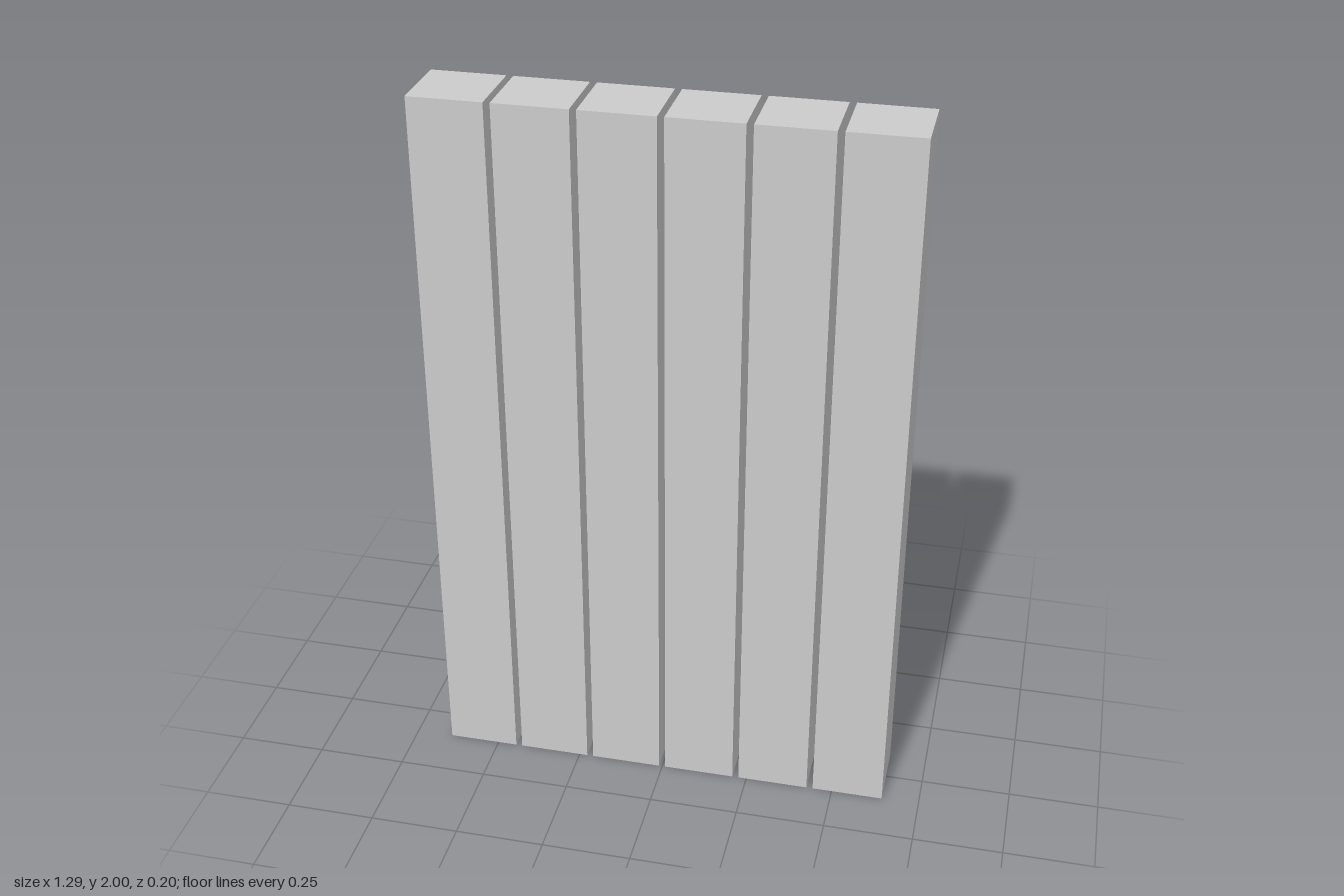
import * as THREE from 'three';

const COUNT = 6, WIDTH = 0.2, DEPTH = 0.2, HEIGHT = 2, SPACING = 0.218;

// Hollow post: a box with its bottom face left out
function openBottomBox(w, h, d) {
  const geometry = new THREE.BoxGeometry(w, h, d);
  const normal = geometry.attributes.normal;
  const kept = Array.from(geometry.index.array).filter((i) => normal.getY(i) > -0.5);
  geometry.setIndex(kept);
  geometry.clearGroups();
  return geometry;
}

export function createModel() {
  const group = new THREE.Group();
  group.name = 'postRow';
  const material = new THREE.MeshStandardMaterial({ color: 0xcccccc, side: THREE.DoubleSide });
  const geometry = openBottomBox(WIDTH, HEIGHT, DEPTH);

  // Evenly spaced upright posts with narrow gaps
  for (let i = 0; i < COUNT; i++) {
    const post = new THREE.Mesh(geometry, material);
    post.name = `post${i + 1}`;
    post.position.set((i - (COUNT - 1) / 2) * SPACING, HEIGHT / 2, 0);
    group.add(post);
  }
  return group;
}
